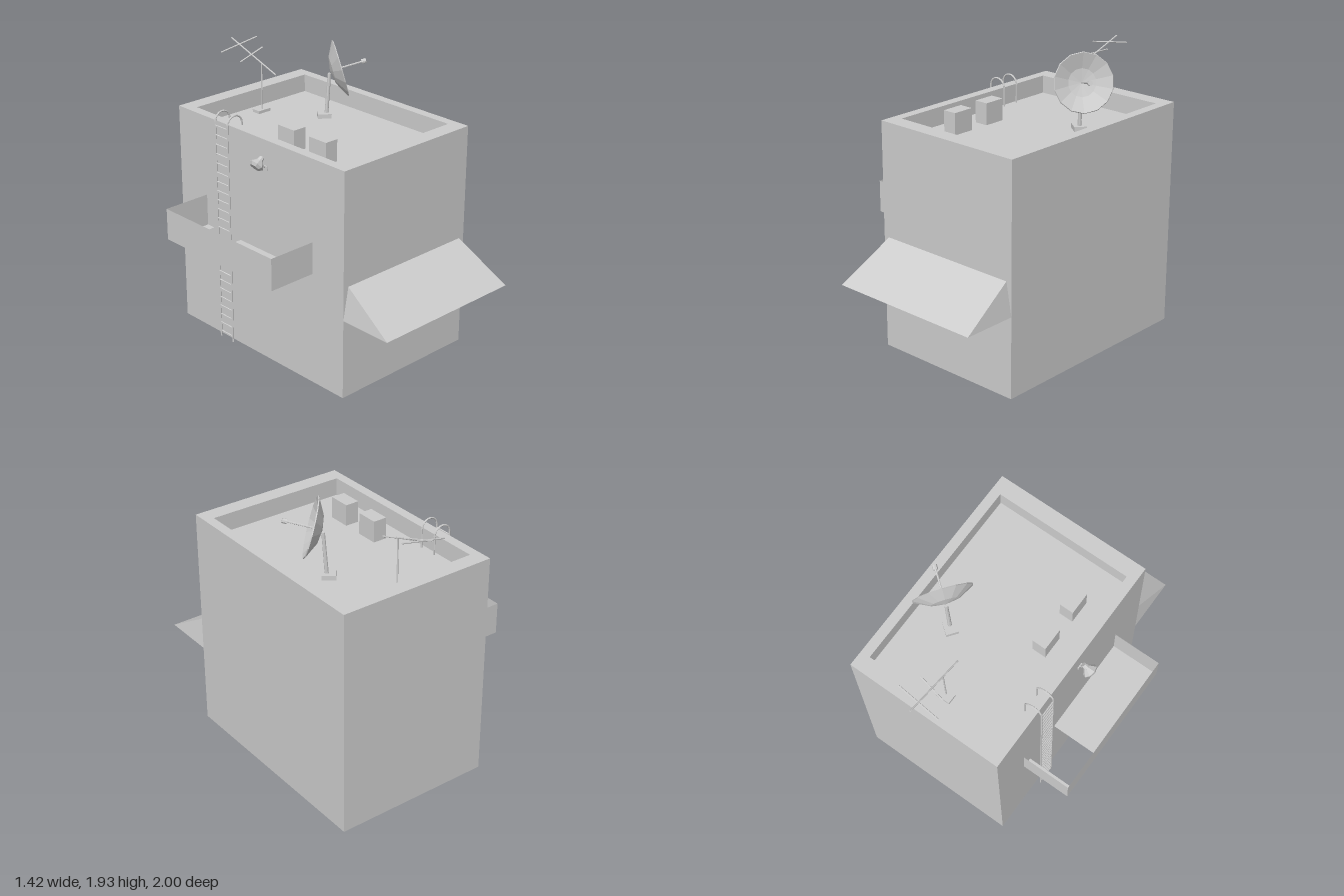
import * as THREE from 'three';

const grey = new THREE.MeshStandardMaterial({ color: 0xcccccc, side: THREE.DoubleSide, flatShading: true });
grey.name = 'plain grey';
const V = (x, y, z) => new THREE.Vector3(x, y, z);

function add(parent, name, geometry) {
  const mesh = new THREE.Mesh(geometry, grey);
  mesh.name = name;
  parent.add(mesh);
  return mesh;
}

// Open surface from a list of four-cornered faces
function quads(faces) {
  const pos = [];
  for (const [a, b, c, d] of faces) for (const p of [a, b, c, a, c, d]) pos.push(p.x, p.y, p.z);
  const geo = new THREE.BufferGeometry();
  geo.setAttribute('position', new THREE.Float32BufferAttribute(pos, 3));
  geo.computeVertexNormals();
  return geo;
}

// Four corners of a horizontal rectangle, anticlockwise from above
const ring = (x0, x1, z0, z1, y) => [V(x0, y, z1), V(x1, y, z1), V(x1, y, z0), V(x0, y, z0)];

function box(parent, name, x0, x1, y0, y1, z0, z1) {
  add(parent, name, new THREE.BoxGeometry(x1 - x0, y1 - y0, z1 - z0))
    .position.set((x0 + x1) / 2, (y0 + y1) / 2, (z0 + z1) / 2);
}

// Straight rod or cone between two points
function rod(parent, name, a, b, r0, r1 = r0, sides = 6) {
  const mesh = add(parent, name, new THREE.CylinderGeometry(r1, r0, a.distanceTo(b), sides));
  mesh.position.copy(a).lerp(b, 0.5);
  mesh.quaternion.setFromUnitVectors(V(0, 1, 0), b.clone().sub(a).normalize());
  return mesh;
}

const ROOF = 1.41;

function building(g) {
  // Walls, parapet top, inner parapet and sunken roof, open underneath
  const rings = [
    ring(-0.375, 0.71, -0.91, 0.63, 0),
    ring(-0.375, 0.71, -0.91, 0.63, 1.53),
    ring(-0.31, 0.645, -0.805, 0.52, 1.53),
    ring(-0.31, 0.645, -0.805, 0.52, ROOF),
  ];
  const faces = [rings[3]];
  for (let k = 0; k < 3; k++) {
    for (let i = 0; i < 4; i++) {
      const j = (i + 1) % 4;
      faces.push([rings[k][i], rings[k][j], rings[k + 1][j], rings[k + 1][i]]);
    }
  }
  add(g, 'building', quads(faces));

  for (const z of [-0.16, 0.125]) box(g, 'roofVent', -0.185, -0.09, ROOF, 1.555, z, z + 0.15);
}

function awning(g) {
  // Sloping sheet with a triangular cheek at each end
  const top = [V(-0.335, 0.765, 0.63), V(0.67, 0.765, 0.63)];
  const out = [V(-0.375, 0.545, 1), V(0.71, 0.545, 1)];
  const wall = [V(-0.375, 0.545, 0.63), V(0.71, 0.545, 0.63)];
  add(g, 'awningSlope', quads([[out[0], out[1], top[1], top[0]]]));
  add(g, 'awningCheeks', new THREE.BufferGeometry().setFromPoints(
    [out[1], wall[1], top[1], wall[0], out[0], top[0]])).geometry.computeVertexNormals();
}

function balcony(g) {
  const x0 = -0.71, x1 = -0.375, z0 = -0.65, z1 = 0.355, y0 = 0.765, y1 = 0.98;
  const low = ring(x0, x1, z0, z1, y0), high = ring(x0, x1, z0, z1, y1);
  add(g, 'balconyWalls', quads([[0, 1], [2, 3], [3, 0]].map(([i, j]) => [low[i], low[j], high[j], high[i]])));
  // Floor leaves a gap for the ladder
  add(g, 'balconyFloor', quads([ring(x0, x1, -0.32, z1, y0), ring(x0, x1, z0, -0.585, y0)]));
}

function ladder(g) {
  const x = -0.405, r = 0.06;
  for (const z of [-0.507, -0.387]) {
    // Rail rises, hooks over the parapet and lands on the roof
    const pts = [V(x, 0, z), V(x, 0.75, z), V(x, 1.5, z)];
    for (let i = 0; i <= 8; i++) {
      const t = Math.PI * (1 - i / 8);
      pts.push(V(x + r + r * Math.cos(t), 1.535 + r * Math.sin(t), z));
    }
    pts.push(V(x + 2 * r, ROOF, z));
    const path = new THREE.CurvePath();
    for (let i = 1; i < pts.length; i++) path.add(new THREE.LineCurve3(pts[i - 1], pts[i]));
    add(g, 'ladderRail', new THREE.TubeGeometry(path, 90, 0.006, 6));
  }
  for (let y = 0.04; y < 1.53; y += 0.064) rod(g, 'ladderRung', V(x, y, -0.507), V(x, y, -0.387), 0.005);
}

function wallLamp(g) {
  const z = -0.065, dir = V(-0.77, -0.64, 0);
  const neck = V(-0.412, 1.415, z);
  const at = (d) => neck.clone().addScaledVector(dir, d);
  rod(g, 'lampSocket', at(-0.012), at(0.015), 0.016, 0.02, 8);
  rod(g, 'lampShade', at(0.015), at(0.05), 0.022, 0.052, 8);
  rod(g, 'lampGlass', at(0.05), at(0.068), 0.052, 0.035, 8);
  const arm = new THREE.CatmullRomCurve3([V(-0.408, 1.42, z), V(-0.398, 1.405, z), V(-0.395, 1.365, z), V(-0.375, 1.345, z)]);
  add(g, 'lampArm', new THREE.TubeGeometry(arm, 8, 0.005, 6));
  box(g, 'lampPlate', -0.382, -0.375, 1.33, 1.36, z - 0.02, z + 0.02);
}

function dish(g) {
  const n = V(0.77, 0.26, 0.58).normalize();
  const apex = V(0.43, 1.728, -0.317);
  // Faceted bowl, opening along n
  const profile = [[0, 0], [0.09, 0.016], [0.188, 0.064], [0.192, 0.058], [0.092, 0.006], [0, -0.01]];
  const bowl = add(g, 'dishBowl', new THREE.LatheGeometry(profile.map(([r, y]) => new THREE.Vector2(r, y)), 14));
  bowl.position.copy(apex);
  bowl.quaternion.setFromUnitVectors(V(0, 1, 0), n);
  const tip = apex.clone().addScaledVector(n, 0.22);
  rod(g, 'dishFeedArm', apex, tip, 0.006);
  rod(g, 'dishFeed', tip.clone().addScaledVector(n, -0.015), tip.clone().addScaledVector(n, 0.015), 0.016, 0.016, 8);
  // Stand and foot plate
  rod(g, 'dishPole', V(0.403, ROOF, -0.337), V(0.42, 1.71, -0.325), 0.013, 0.011, 8);
  const foot = add(g, 'dishFoot', new THREE.BoxGeometry(0.09, 0.03, 0.08));
  foot.position.set(0.393, ROOF + 0.015, -0.345);
  foot.rotation.y = -0.65;
}

function antenna(g) {
  box(g, 'antennaFoot', 0.11, 0.21, ROOF, ROOF + 0.02, -0.74, -0.675);
  rod(g, 'antennaMast', V(0.16, ROOF, -0.7), V(0.16, 1.75, -0.7), 0.005);
  rod(g, 'antennaBoom', V(0.16, 1.70, -0.56), V(0.16, 1.855, -1), 0.005);
  rod(g, 'antennaBar', V(0.012, 1.80, -0.935), V(0.308, 1.85, -0.915), 0.005);
  rod(g, 'antennaBar', V(0.075, 1.748, -0.815), V(0.25, 1.818, -0.79), 0.005);
}

export function createModel() {
  const model = new THREE.Group();
  model.name = 'rooftopBuilding';
  for (const part of [building, awning, balcony, ladder, wallLamp, dish, antenna]) {
    const group = new THREE.Group();
    group.name = part.name;
    part(group);
    model.add(group);
  }
  return model;
}
